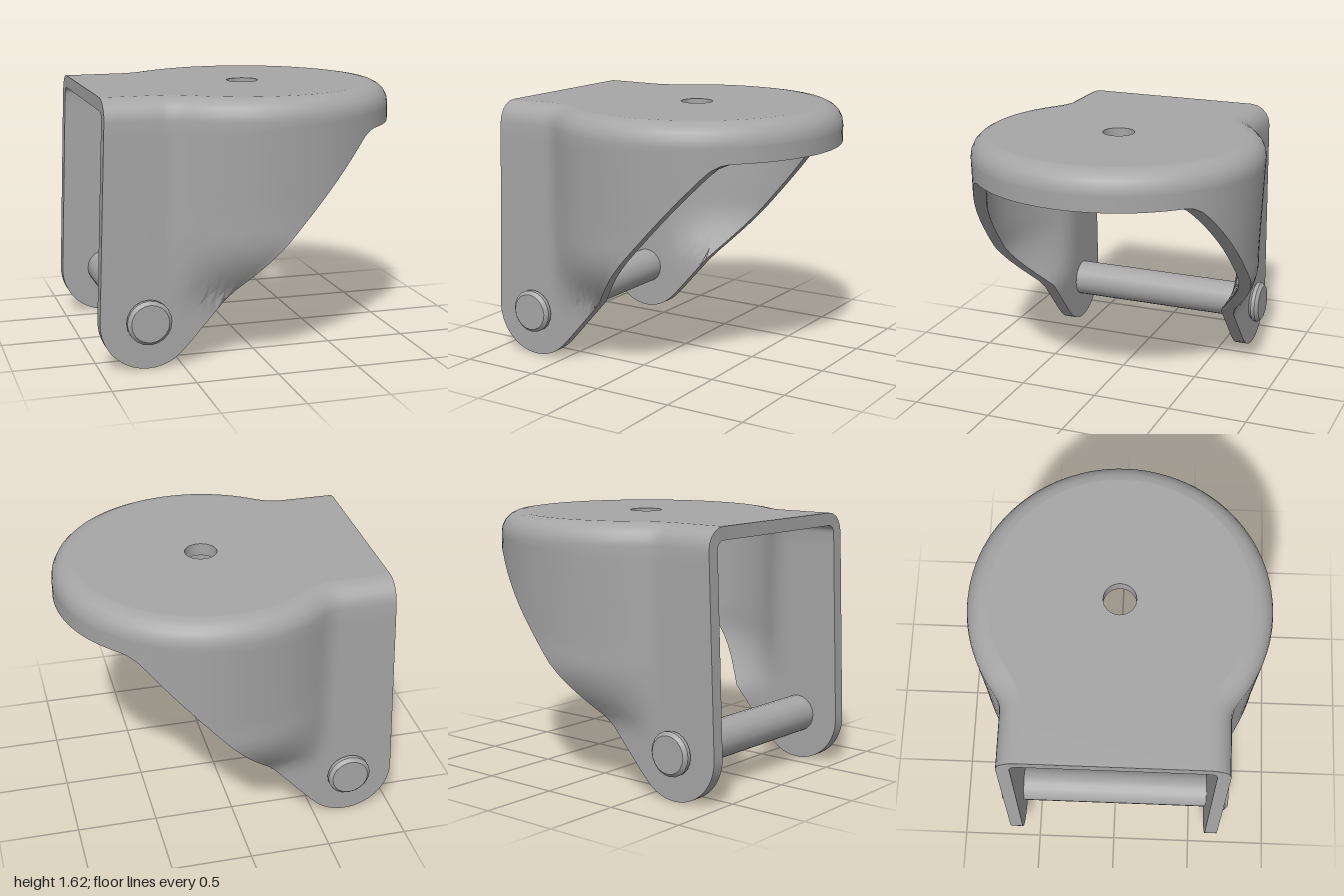
import * as THREE from 'three';
import { toCreasedNormals } from 'three/addons/utils/BufferGeometryUtils.js';

const clamp = THREE.MathUtils.clamp;
const TOP = 1.62, BEND = 1.49, R_OUT = 0.13, WALL = 0.08, SIDE = 0.68;
const DISC = { x: 0.08, r: 0.92 };
const PIN = { x: -0.71, y: 0.29, r: 0.29 };

// Lower edge of the bracket: round lug, straight slope, then a level lip
function lowerEdge(x) {
  if (x < -0.49) return PIN.y - Math.sqrt(Math.max(0, PIN.r ** 2 - (x - PIN.x) ** 2));
  const slope = 0.097 + 1.125 * (x + 0.49), lip = 1.385, k = 0.07;
  const h = Math.max(k - Math.abs(slope - lip), 0) / k;
  return Math.min(slope, lip) - h * h * k / 4;
}

// Plan outline: two straight cheeks blended into a disc
function planOutline() {
  const half = [];
  const add = (x) => {
    const disc = Math.sqrt(Math.max(0, DISC.r ** 2 - (x - DISC.x) ** 2));
    let z = disc;
    if (x < 0) {
      const k = 0.06, h = Math.max(k - Math.abs(disc - SIDE), 0) / k;
      z = Math.max(disc, SIDE) + h * h * k / 4;
    }
    half.push(new THREE.Vector2(x, z));
  };
  for (let i = 0; i < 20; i++) add(PIN.x - PIN.r * Math.cos(i / 20 * 2.433));
  for (let i = 0; i <= 36; i++) add(DISC.x + DISC.r * Math.cos(2.239 * (1 - i / 36)));
  half[half.length - 1].set(1, 0);
  const mirrored = half.slice(0, -1).reverse().map((p) => new THREE.Vector2(p.x, -p.y));
  return half.concat(mirrored);
}

// One wall section: outer face downward, then inner face upward
function wallSection(p, n) {
  const face = (inner) => {
    const pts = [], r = inner ? R_OUT - WALL : R_OUT;
    const base = inner ? SIDE - WALL : SIDE;
    const put = (inset, yAt) => {
      let x = p.x - n.x * inset, z = p.y - n.y * inset;
      const y = yAt(x);
      // cheeks pinch together below the bulge
      if (Math.abs(z) > base && y < BEND) {
        const t = clamp((0.78 - y) / 0.37, 0, 1);
        const f = (1 - t ** 1.8) * (1 - 0.13 * clamp((BEND - y) / 0.6, 0, 1));
        z = Math.sign(z) * (base + (Math.abs(z) - base) * f);
      }
      // open edge leans slightly back toward the top
      x += 0.05 * clamp((-0.6 - x) / 0.4, 0, 1) * clamp((y - PIN.y) / 1.25, 0, 1);
      pts.push(new THREE.Vector3(x, y, z));
    };
    for (let i = 0; i <= 5; i++) {
      const a = i / 5 * Math.PI / 2;
      put(R_OUT - r * Math.sin(a), () => BEND + r * Math.cos(a));
    }
    for (let i = 1; i <= 16; i++) {
      put(R_OUT - r, (x) => THREE.MathUtils.lerp(BEND, lowerEdge(x), i / 16));
    }
    return pts;
  };
  return [...face(false), ...face(true).reverse()];
}

function buildSections() {
  const plan = planOutline(), last = plan.length - 1;
  return plan.map((p, i) => {
    const a = plan[Math.max(i - 1, 0)], b = plan[Math.min(i + 1, last)];
    const n = new THREE.Vector2(-(b.y - a.y), b.x - a.x).normalize();
    return wallSection(p, n);
  });
}

function wallGeometry(sections) {
  const rows = sections[0].length, cols = sections.length;
  const positions = [], index = [];
  sections.forEach((s) => s.forEach((v) => positions.push(v.x, v.y, v.z)));
  for (let c = 0; c < cols - 1; c++) {
    for (let r = 0; r < rows - 1; r++) {
      const a = c * rows + r, b = a + rows;
      index.push(a, a + 1, b, b, a + 1, b + 1);
    }
  }
  // open edges of both cheeks
  const end = (cols - 1) * rows;
  for (let r = 0; r < rows / 2 - 1; r++) {
    const o = r, i = rows - 1 - r;
    index.push(o, i, o + 1, i, i - 1, o + 1);
    index.push(end + o, end + o + 1, end + i, end + i, end + o + 1, end + i - 1);
  }
  // open edge of the top plate
  index.push(0, end, rows - 1, end, end + rows - 1, rows - 1);
  const g = new THREE.BufferGeometry();
  g.setAttribute('position', new THREE.Float32BufferAttribute(positions, 3));
  g.setIndex(index);
  return toCreasedNormals(g, 0.6);
}

// Flat plate face with the centre hole
function plateGeometry(sections, row, y, up) {
  const shape = new THREE.Shape(sections.map((s) => new THREE.Vector2(s[row].x, s[row].z)));
  const hole = new THREE.Path();
  hole.absarc(DISC.x, 0, 0.1, 0, Math.PI * 2, true);
  shape.holes.push(hole);
  const g = new THREE.ShapeGeometry(shape, 16);
  g.rotateX(up ? -Math.PI / 2 : Math.PI / 2);
  return g.translate(0, y, 0);
}

export function createModel() {
  const group = new THREE.Group();
  const steel = new THREE.MeshStandardMaterial({ color: 0xa6a6a6, side: THREE.DoubleSide });
  steel.name = 'grey steel';
  const add = (name, geometry) => {
    const mesh = new THREE.Mesh(geometry, steel);
    mesh.name = name;
    group.add(mesh);
    return mesh;
  };

  // Fork shell
  const sections = buildSections();
  add('forkWalls', wallGeometry(sections));
  add('topPlate', plateGeometry(sections, 0, TOP, true));
  add('topPlateUnderside', plateGeometry(sections, sections[0].length - 1, TOP - WALL, false));
  add('mountingHole', new THREE.CylinderGeometry(0.1, 0.1, WALL, 32, 1, true))
    .position.set(DISC.x, TOP - WALL / 2, 0);

  // Axle between the cheeks
  const axle = add('axle', new THREE.CylinderGeometry(0.118, 0.118, 1.22, 20));
  axle.rotation.x = Math.PI / 2;
  axle.position.set(PIN.x, 0.295, 0);

  // Rounded rivet heads
  const profile = [[0, 0], [0.115, 0], [0.136, 0.02], [0.136, 0.045], [0.115, 0.066], [0, 0.066]]
    .map(([r, h]) => new THREE.Vector2(r, h));
  for (const side of [1, -1]) {
    const head = add(side > 0 ? 'frontRivet' : 'backRivet',
      toCreasedNormals(new THREE.LatheGeometry(profile, 20), 0.6));
    head.rotation.x = side * Math.PI / 2;
    head.position.set(PIN.x, 0.295, side * SIDE);
  }
  return group;
}
